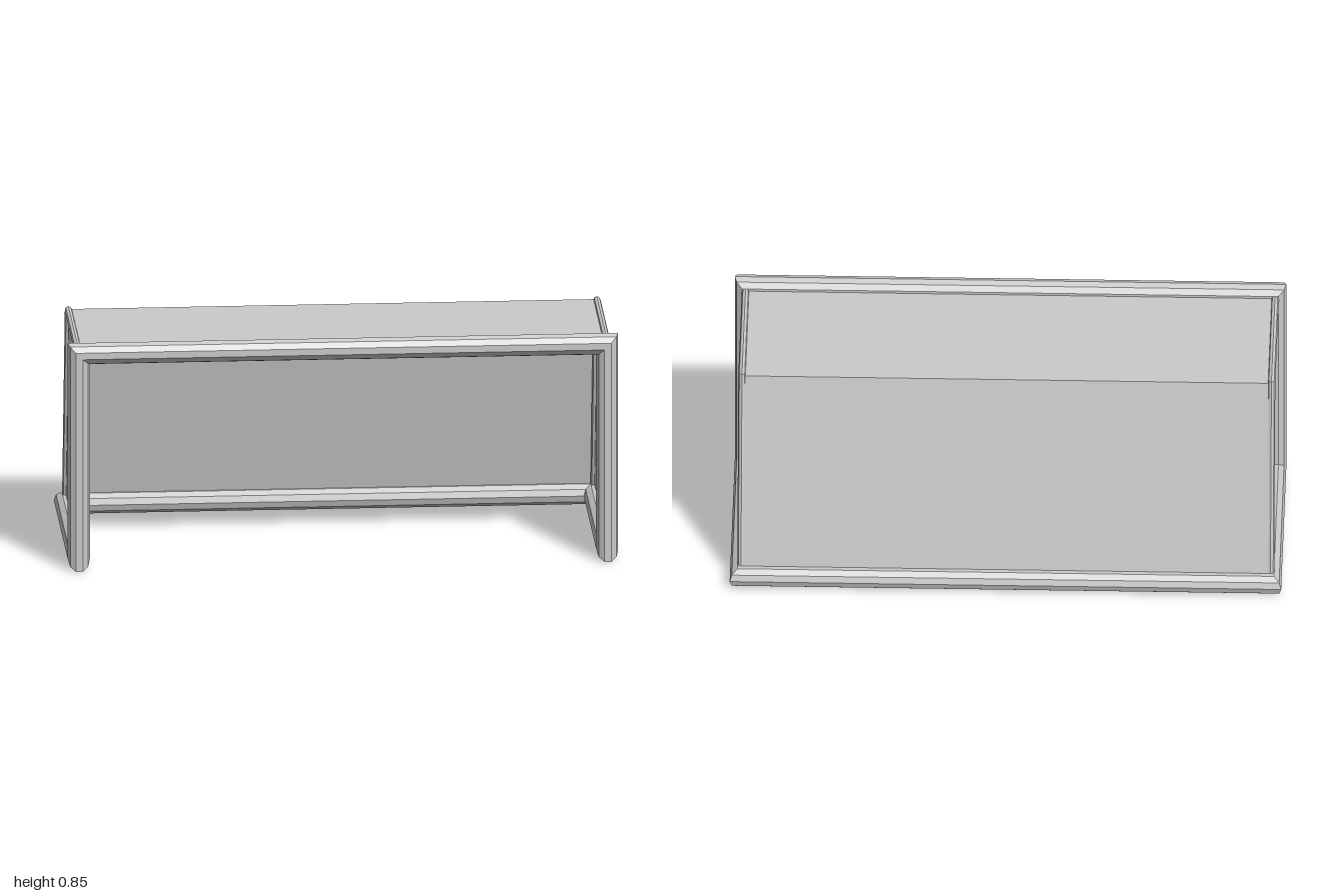
import * as THREE from 'three';

const V = (x, y, z) => new THREE.Vector3(x, y, z);
const metal = new THREE.MeshStandardMaterial({ color: 0xcccccc, flatShading: true });
const sheet = new THREE.MeshStandardMaterial({ color: 0xcccccc, side: THREE.DoubleSide });

// Faceted bar through mitred stations { p, u, v }: u and v carry the profile's two axes
function bar(name, stations, radius, sides, closed) {
  const at = (i, j) => {
    const { p, u, v } = stations[i % stations.length];
    const t = (j / sides) * Math.PI * 2;
    return p.clone()
      .addScaledVector(u, radius * Math.cos(t))
      .addScaledVector(v, radius * Math.sin(t));
  };
  const points = [];
  const spans = closed ? stations.length : stations.length - 1;
  for (let i = 0; i < spans; i++) {
    for (let j = 0; j < sides; j++) {
      const a = at(i, j), b = at(i, j + 1), c = at(i + 1, j), d = at(i + 1, j + 1);
      points.push(a, b, c, b, d, c);
    }
  }
  const geometry = new THREE.BufferGeometry().setFromPoints(points);
  geometry.computeVertexNormals();
  const mesh = new THREE.Mesh(geometry, metal);
  mesh.name = name;
  return mesh;
}

// Flat panel from corners in order
function panel(name, corners) {
  const points = [];
  for (let i = 1; i < corners.length - 1; i++) points.push(corners[0], corners[i], corners[i + 1]);
  const geometry = new THREE.BufferGeometry().setFromPoints(points);
  geometry.computeVertexNormals();
  const mesh = new THREE.Mesh(geometry, sheet);
  mesh.name = name;
  return mesh;
}

export function createModel() {
  const group = new THREE.Group();
  group.name = 'goal';
  const X = 0.96, top = 0.813, base = 0.038, front = 0.361, back = -0.36;

  // Main frame: crossbar, posts, ground rails and back rail as one mitred loop
  const topCorner = (s) => ({ p: V(s * X, top, front), u: V(s, 1, 0), v: V(0, 0, 1) });
  const footCorner = (s) => ({ p: V(s * X, base, front), u: V(s, 0, 0), v: V(0, -1, 1) });
  const backCorner = (s) => ({ p: V(s * X, base, back), u: V(s, 0, -1), v: V(0, -1, 0) });
  group.add(bar('mainFrame', [
    topCorner(-1), topCorner(1), footCorner(1), backCorner(1), backCorner(-1), footCorner(-1),
  ], 0.04, 10, true));

  // Thin net supports: back from the crossbar, then sloping down to the back rail
  const bend = [0.8125, -0.195], foot = [0.039, -0.349];
  const slope = V(0, foot[0] - bend[0], foot[1] - bend[1]).normalize();
  const n1 = V(0, 1, 0);
  const n2 = V(0, -slope.z, slope.y);
  const miter = n1.clone().add(n2).divideScalar(1 + n1.dot(n2));
  const across = V(1, 0, 0);
  for (const s of [1, -1]) {
    const side = s > 0 ? 'left' : 'right';
    group.add(bar(side + 'NetSupport', [
      { p: V(s * X, bend[0], front), u: n1, v: across },
      { p: V(s * X, ...bend), u: miter, v: across },
      { p: V(s * X, ...foot), u: n2, v: across },
    ], 0.0137, 8, false));

    // Side net
    group.add(panel(side + 'Net', [
      V(s * X, base, front), V(s * X, ...foot), V(s * X, ...bend), V(s * X, bend[0], front),
    ]));
  }

  // Roof and back nets
  const w = 0.953, fold = [0.816, -0.203], hem = [0.04, -0.362];
  group.add(panel('roofNet', [
    V(-w, fold[0], front), V(w, fold[0], front), V(w, ...fold), V(-w, ...fold),
  ]));
  group.add(panel('backNet', [
    V(-w, ...fold), V(w, ...fold), V(w, ...hem), V(-w, ...hem),
  ]));
  return group;
}
